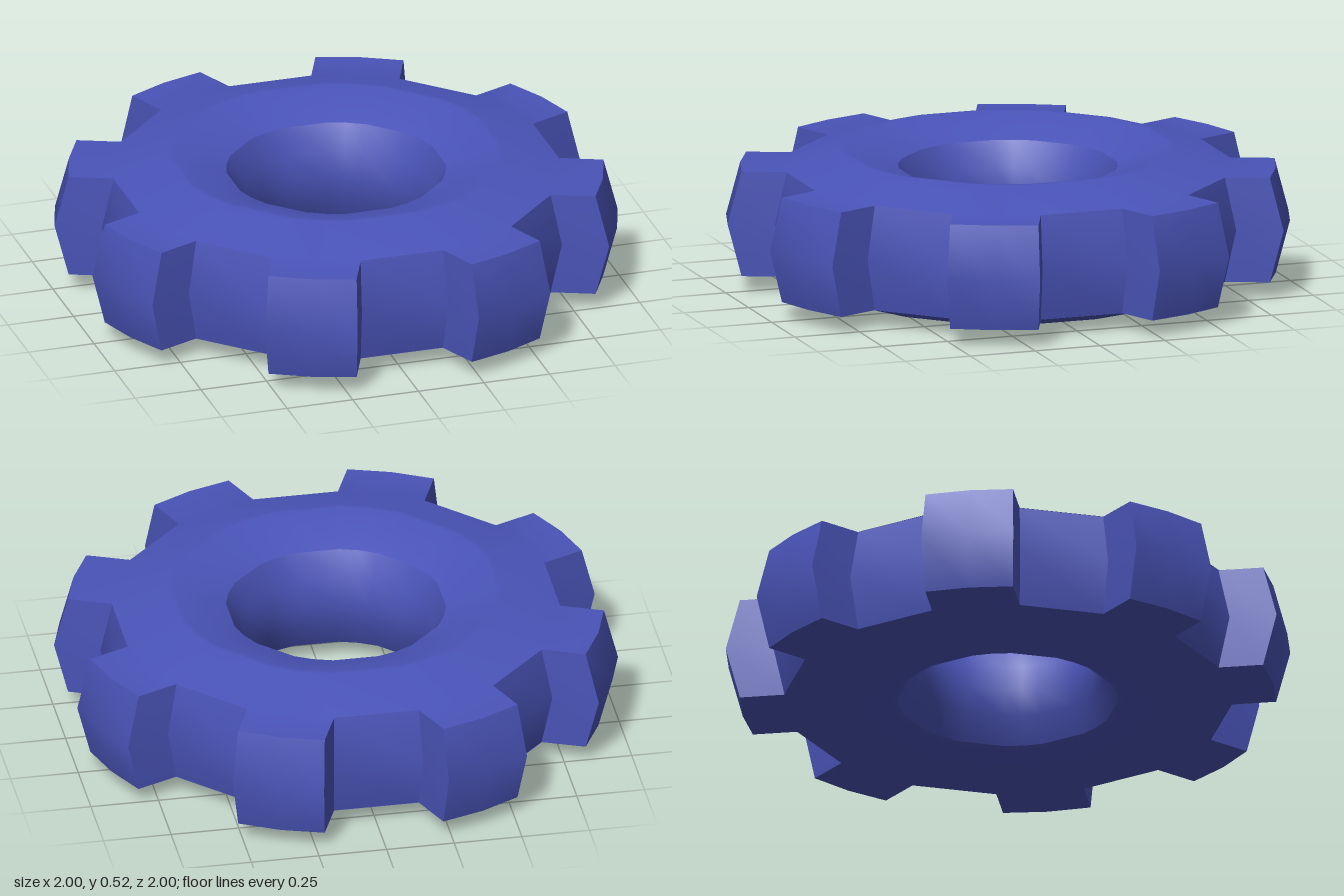
import * as THREE from 'three';
import { toCreasedNormals } from 'three/addons/utils/BufferGeometryUtils.js';

const MID = 0.26; // half height, the wheel mirrors about this level
const TEETH = 8;

// One sector has five columns: notch corner, three tooth points, notch corner.
// Each function returns [angle in degrees, radius] for a column.
const circle = (r) => (c) => [[12, 12, 22.5, 33, 33][c], r];
const base = (c) => [[11.1, 11.1, 22.5, 33.9, 33.9][c], 0.815];
const outline = (s) => (c) => [
  [11.1, 13, 22.5, 32, 33.9][c],
  s * [0.856, 1.026, 1.026, 1.026, 0.856][c],
];

// Upper half of the cross-section, from the bore over the top to the rim
const upper = [
  [0.1, circle(0.353)],
  [0.195, circle(0.4)],
  [0.26, circle(0.59)],
  [0.26, circle(0.61)],
  [0.195, base],
  [0.195, outline(0.95)],
];

function gearGeometry() {
  const rings = [
    [0, circle(0.335)],
    ...upper,
    [0, outline(1)],
    ...upper.map(([h, f]) => [-h, f]).reverse(),
  ];
  const columns = TEETH * 5;
  const point = (i, j) => {
    const [h, f] = rings[i % rings.length];
    const k = j % columns;
    const [deg, r] = f(k % 5);
    const a = THREE.MathUtils.degToRad(deg + Math.floor(k / 5) * 45);
    return new THREE.Vector3(r * Math.sin(a), MID + h, r * Math.cos(a));
  };

  const positions = [];
  const triangle = (a, b, c) => {
    // skip triangles that collapse where columns meet
    const n = b.clone().sub(a).cross(c.clone().sub(a));
    if (n.length() < 1e-7) return;
    for (const p of [a, b, c]) positions.push(p.x, p.y, p.z);
  };
  for (let i = 0; i < rings.length; i++) {
    for (let j = 0; j < columns; j++) {
      const a = point(i, j), b = point(i + 1, j);
      const c = point(i + 1, j + 1), d = point(i, j + 1);
      triangle(a, b, c);
      triangle(a, c, d);
    }
  }
  const geometry = new THREE.BufferGeometry();
  geometry.setAttribute('position', new THREE.Float32BufferAttribute(positions, 3));
  return toCreasedNormals(geometry, THREE.MathUtils.degToRad(31));
}

export function createModel() {
  const group = new THREE.Group();
  group.name = 'gearWheel';
  // Toothed ring with a dished face and a waisted bore
  const gear = new THREE.Mesh(
    gearGeometry(),
    new THREE.MeshStandardMaterial({ color: 0x4a54b8 })
  );
  gear.name = 'toothedRing';
  group.add(gear);
  return group;
}
